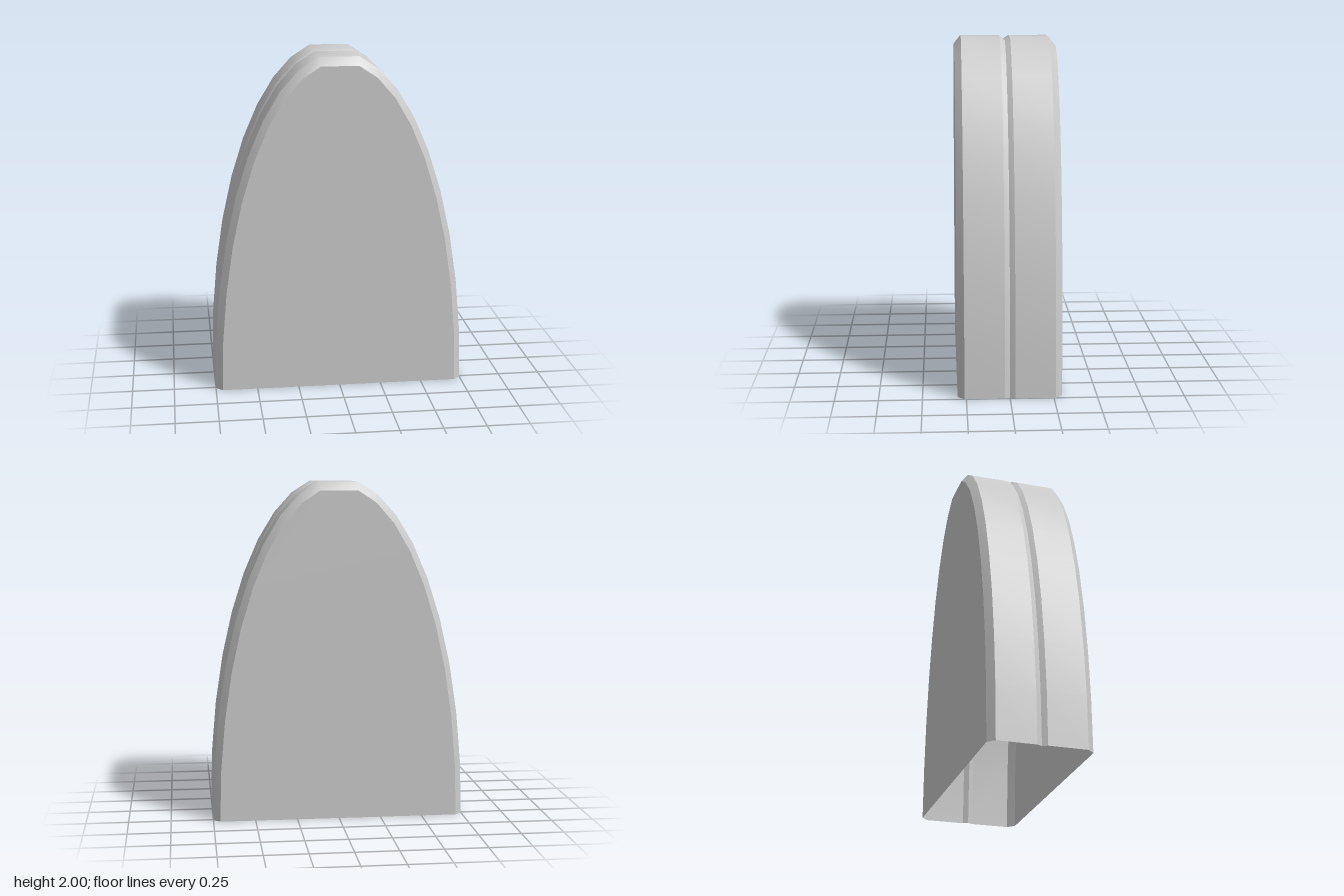
import * as THREE from 'three';

// Half-elliptical arch outline from right foot to left foot, with a flat top
function archPoints(halfWidth, height) {
  const pts = [];
  const ry = height / Math.sin(THREE.MathUtils.degToRad(81));
  for (let deg = 0; deg <= 180; deg += 9) {
    if (deg === 90) continue;
    const a = THREE.MathUtils.degToRad(deg);
    pts.push(new THREE.Vector2(halfWidth * Math.cos(a), deg === 180 ? 0 : ry * Math.sin(a)));
  }
  return pts;
}

// Smooth band between two arch sections, front section first
function archBand(front, back) {
  const a = archPoints(front.w, front.h);
  const b = archPoints(back.w, back.h);
  const pos = [], index = [];
  a.forEach((p, i) => {
    pos.push(p.x, p.y, front.z, b[i].x, b[i].y, back.z);
    if (i < a.length - 1) {
      const k = i * 2;
      index.push(k, k + 1, k + 2, k + 1, k + 3, k + 2);
    }
  });
  const geo = new THREE.BufferGeometry();
  geo.setAttribute('position', new THREE.Float32BufferAttribute(pos, 3));
  geo.setIndex(index);
  geo.computeVertexNormals();
  return geo;
}

export function createModel() {
  const model = new THREE.Group();
  model.name = 'archShell';
  const material = new THREE.MeshStandardMaterial({ color: 0xcccccc, side: THREE.DoubleSide });
  const add = (name, geo) => {
    const mesh = new THREE.Mesh(geo, material);
    mesh.name = name;
    model.add(mesh);
    return mesh;
  };

  // Cross-sections from front to back: bevel, wall, V groove, wall, bevel
  const face = { w: 0.71, h: 1.95 }, rim = { w: 0.75, h: 2 }, groove = { w: 0.735, h: 1.98 };
  const sections = [
    { ...face, z: 0.3 }, { ...rim, z: 0.26 }, { ...rim, z: 0.03 },
    { ...groove, z: 0 },
    { ...rim, z: -0.03 }, { ...rim, z: -0.26 }, { ...face, z: -0.3 },
  ];
  const names = ['frontBevel', 'frontWall', 'grooveFront', 'grooveBack', 'backWall', 'backBevel'];
  names.forEach((name, i) => add(name, archBand(sections[i], sections[i + 1])));

  // Flat front and back panels; the underside stays open
  const panel = new THREE.ShapeGeometry(new THREE.Shape(archPoints(face.w, face.h)));
  add('frontPanel', panel).position.z = 0.3;
  const back = add('backPanel', panel);
  back.position.z = -0.3;
  back.rotation.y = Math.PI;

  return model;
}
